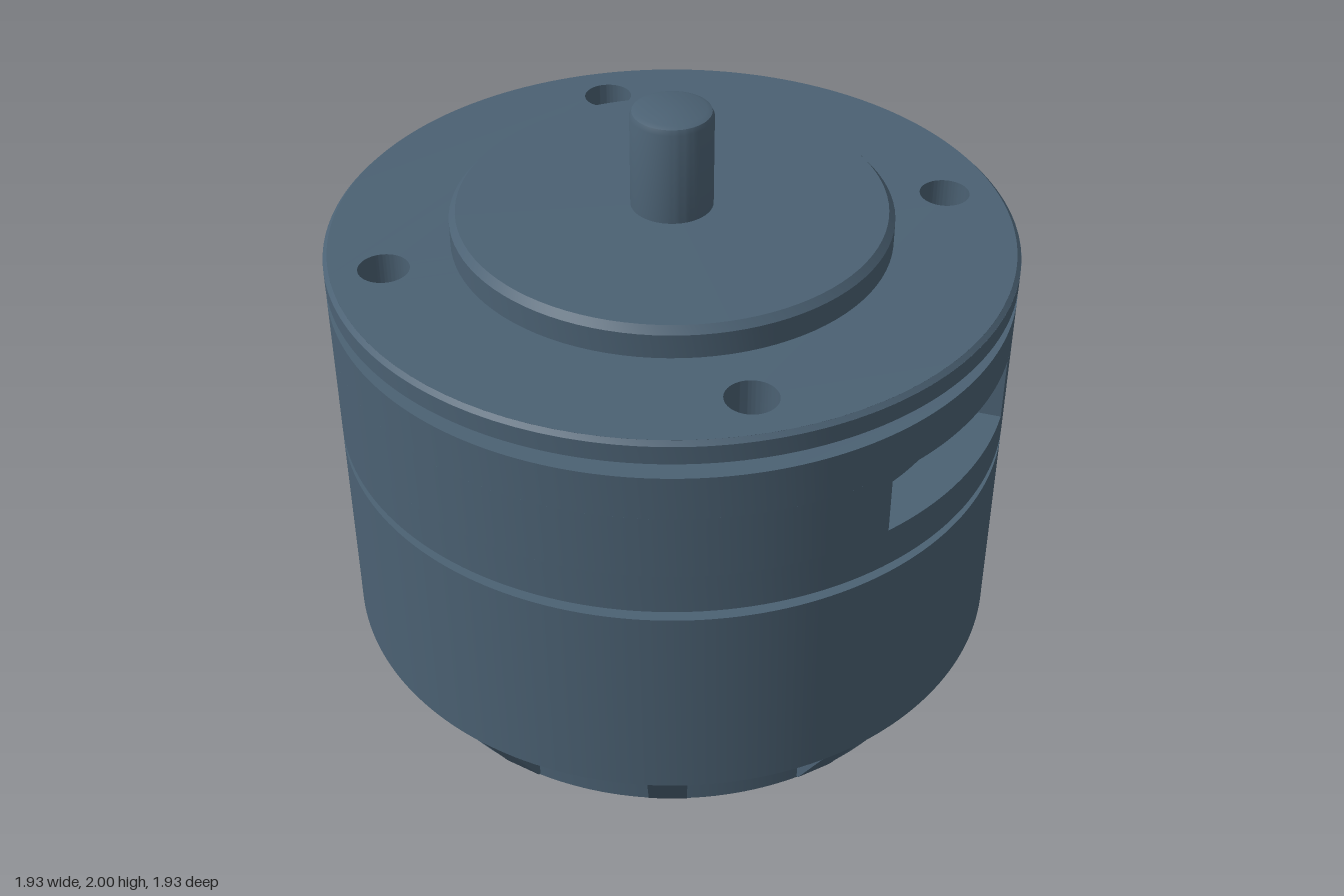
import * as THREE from 'three';
import { toCreasedNormals } from 'three/addons/utils/BufferGeometryUtils.js';

const R = 0.965;
const rad = THREE.MathUtils.degToRad;

export function createModel() {
  const group = new THREE.Group();
  const steel = new THREE.MeshStandardMaterial({ color: 0x4b6173 });
  steel.name = 'slate steel';

  const add = (name, geometry) => {
    const mesh = new THREE.Mesh(toCreasedNormals(geometry, 0.5), steel);
    mesh.name = name;
    group.add(mesh);
    return mesh;
  };

  // plan shape (x, z) raised from y0 to y1
  const slab = (name, shape, y0, y1) => {
    const g = new THREE.ExtrudeGeometry(shape, { depth: y1 - y0, bevelEnabled: false, curveSegments: 96 });
    g.rotateX(Math.PI / 2).translate(0, y1, 0);
    return add(name, g);
  };

  // disc with round holes, each given as [angle, distance, radius]
  const disc = (r, holes = []) => {
    const s = new THREE.Shape().absarc(0, 0, r, 0, Math.PI * 2);
    for (const [a, d, hr] of holes) {
      s.holes.push(new THREE.Path().absarc(d * Math.cos(rad(a)), d * Math.sin(rad(a)), hr, 0, Math.PI * 2, true));
    }
    return s;
  };

  const lathe = (name, points) =>
    add(name, new THREE.LatheGeometry(points.map(([x, y]) => new THREE.Vector2(x, y)), 96));

  // shafts and raised boss
  lathe('lowerShaft', [[0, 0], [0.14, 0], [0.154, 0.006], [0.16, 0.02], [0.16, 0.24]]);
  lathe('upperShaft', [[0.115, 1.7], [0.115, 1.98], [0.109, 1.994], [0.095, 2], [0, 2]]);
  lathe('topBoss', [[0.615, 1.61], [0.615, 1.69], [0.597, 1.71], [0, 1.71]]);

  // base core with two blind holes
  slab('baseCore', disc(0.84, [[34, 0.3, 0.055], [214, 0.3, 0.055]]), 0.23, 0.42);

  // twelve sloping ribs around the base
  const ribProfile = new THREE.Shape([[0.78, 0.235], [0.845, 0.235], [R - 0.002, 0.42], [0.78, 0.42]]
    .map(([x, y]) => new THREE.Vector2(x, y)));
  for (let i = 0; i < 12; i++) {
    const g = new THREE.ExtrudeGeometry(ribProfile, { depth: 0.11, bevelEnabled: false });
    g.translate(0, 0, -0.055).rotateY(rad(15 + i * 30));
    add('baseRib', g);
  }

  // can, lower groove and window sill
  slab('mainCan', disc(R), 0.42, 1.04);
  slab('lowerGroove', disc(0.92), 1.04, 1.07);
  slab('windowSill', disc(R), 1.07, 1.19);

  // band with a deep and a shallow window pocket: [start, end, inner radius]
  const pockets = [[-16, 18, 0.4], [32, 68.5, 0.83]];
  const band = new THREE.Shape();
  pockets.forEach(([a0, a1, r], i) => {
    const next = i + 1 < pockets.length ? pockets[i + 1][0] : pockets[0][0] + 360;
    band.absarc(0, 0, r, rad(a0), rad(a1), false);
    band.absarc(0, 0, R, rad(a1), rad(next), false);
  });
  slab('windowBand', band, 1.19, 1.38);

  // layers pierced by the four mounting holes
  const mounts = [0, 90, 180, 270].map((a) => [a, 0.805, 0.071]);
  slab('windowLintel', disc(R, mounts), 1.38, 1.51);
  slab('upperGroove', disc(0.895, mounts), 1.51, 1.555);
  slab('topFlange', disc(R, mounts), 1.555, 1.608);
  slab('flangeFace', disc(0.953, mounts), 1.608, 1.62);
  lathe('flangeChamfer', [[R, 1.608], [0.953, 1.62]]);

  return group;
}
